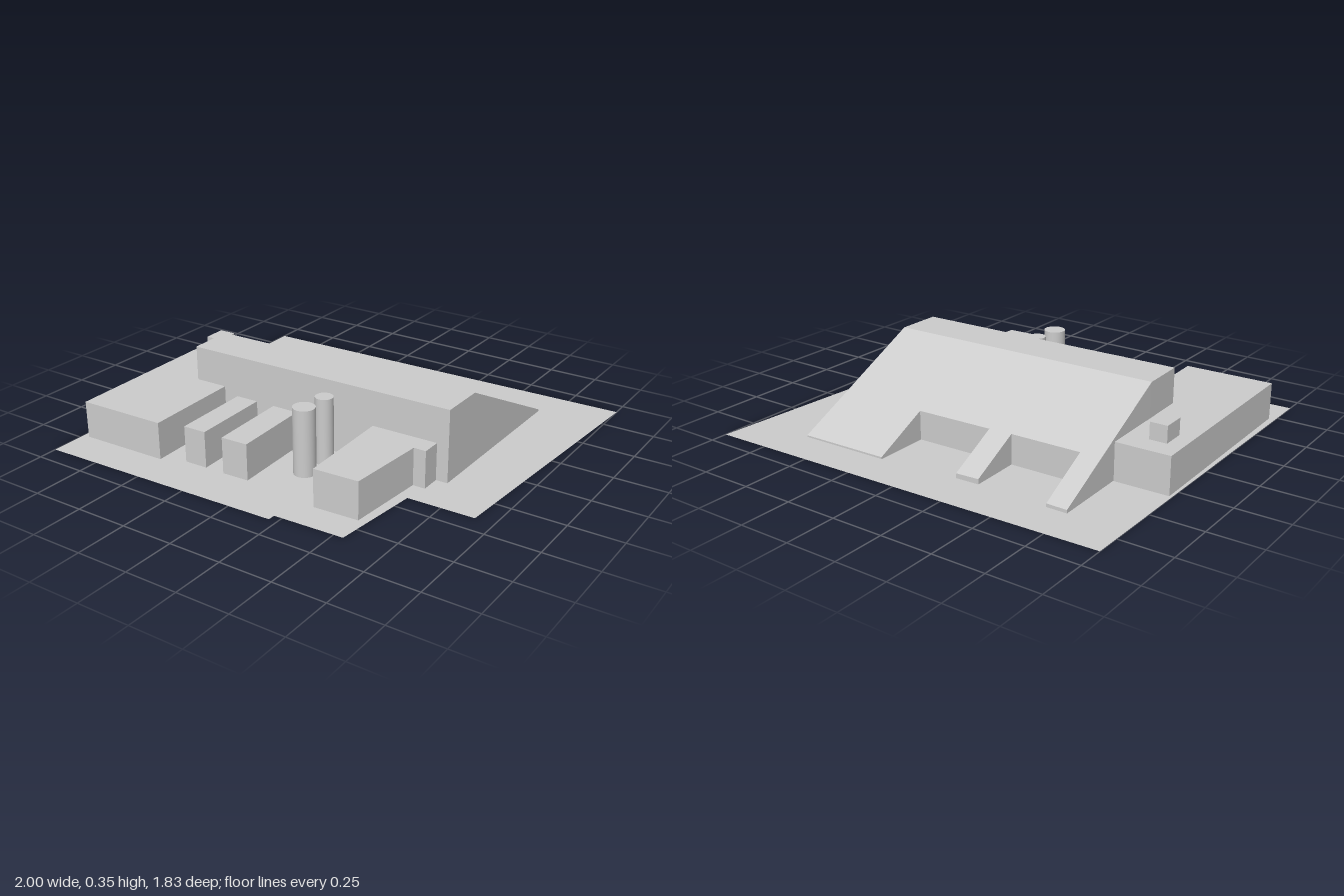
import * as THREE from 'three';

const material = new THREE.MeshStandardMaterial({ color: 0xcccccc, flatShading: true });
const smoothMaterial = new THREE.MeshStandardMaterial({ color: 0xcccccc });
const sheetMaterial = new THREE.MeshStandardMaterial({ color: 0xcccccc, side: THREE.DoubleSide });

// Plan outline given as [x, z] corners
const plan = (points) => new THREE.Shape(points.map(([x, z]) => new THREE.Vector2(x, -z)));

// Upright block from a plan outline; height may be a number or a rule of (x, z)
function block(name, points, height) {
  const geometry = new THREE.ExtrudeGeometry(plan(points), { depth: 1, bevelEnabled: false });
  geometry.rotateX(-Math.PI / 2);
  const p = geometry.attributes.position;
  for (let i = 0; i < p.count; i++) {
    const top = typeof height === 'number' ? height : height(p.getX(i), p.getZ(i));
    p.setY(i, p.getY(i) > 0.5 ? top : 0);
  }
  geometry.computeVertexNormals();
  const mesh = new THREE.Mesh(geometry, material);
  mesh.name = name;
  return mesh;
}

export function createModel() {
  const model = new THREE.Group();
  model.name = 'buildingComplex';

  // Flat site sheet
  const site = new THREE.ShapeGeometry(plan([
    [-1, -0.87], [1, -0.92], [0.91, 0.405], [0.59, 0.41],
    [0.545, 0.835], [0.21, 0.845], [0.21, 0.88], [-1, 0.91],
  ]));
  site.rotateX(-Math.PI / 2);
  const ground = new THREE.Mesh(site, sheetMaterial);
  ground.name = 'sitePlate';
  model.add(ground);

  // Main hall: flat-roofed front strip and a long roof sloping down to the back
  const ridgeLeft = [-0.717, 0.003], ridgeRight = [0.668, -0.022];
  const ridgeZ = (x) => ridgeLeft[1] + (x - ridgeLeft[0]) * (ridgeRight[1] - ridgeLeft[1]) / (ridgeRight[0] - ridgeLeft[0]);
  const slope = (x, z) => 0.35 - 0.49 * Math.max(0, ridgeZ(x) - z);
  model.add(block('hallFront', [[-0.71, 0.225], [0.667, 0.2], ridgeRight, ridgeLeft], 0.35));
  model.add(block('hallSlopedBack', [
    ridgeLeft, ridgeRight, [0.672, -0.72], [0.225, -0.71], [0.225, -0.44], [-0.16, -0.43],
    [-0.165, -0.675], [-0.28, -0.67], [-0.275, -0.425], [-0.622, -0.418], [-0.63, -0.68], [-0.73, -0.68],
  ], slope));

  // Low wings on either side
  model.add(block('rightWing', [
    [-0.987, -0.305], [-0.725, -0.312], [-0.71, 0.225], [-0.545, 0.22], [-0.53, 0.715], [-0.97, 0.725],
  ], 0.18));
  model.add(block('leftWing', [
    [0.285, 0.205], [0.61, 0.2], [0.61, 0.297], [0.55, 0.297], [0.52, 0.685], [0.303, 0.695],
  ], 0.18));

  // Rooftop vent on the right wing
  model.add(block('roofVent', [[-0.912, -0.203], [-0.828, -0.205], [-0.825, -0.093], [-0.91, -0.09]], 0.26));

  // Two free-standing sheds
  model.add(block('outerShed', [[-0.428, 0.273], [-0.315, 0.27], [-0.303, 0.665], [-0.417, 0.668]], 0.175));
  model.add(block('innerShed', [[-0.22, 0.27], [-0.088, 0.268], [-0.073, 0.66], [-0.205, 0.665]], 0.175));

  // Two round silos
  for (const [x, z, r] of [[0.102, 0.32, 0.042], [0.092, 0.46, 0.052]]) {
    const silo = new THREE.Mesh(new THREE.CylinderGeometry(r, r, 0.32, 32), smoothMaterial);
    silo.position.set(x, 0.16, z);
    silo.name = 'silo';
    model.add(silo);
  }
  return model;
}
